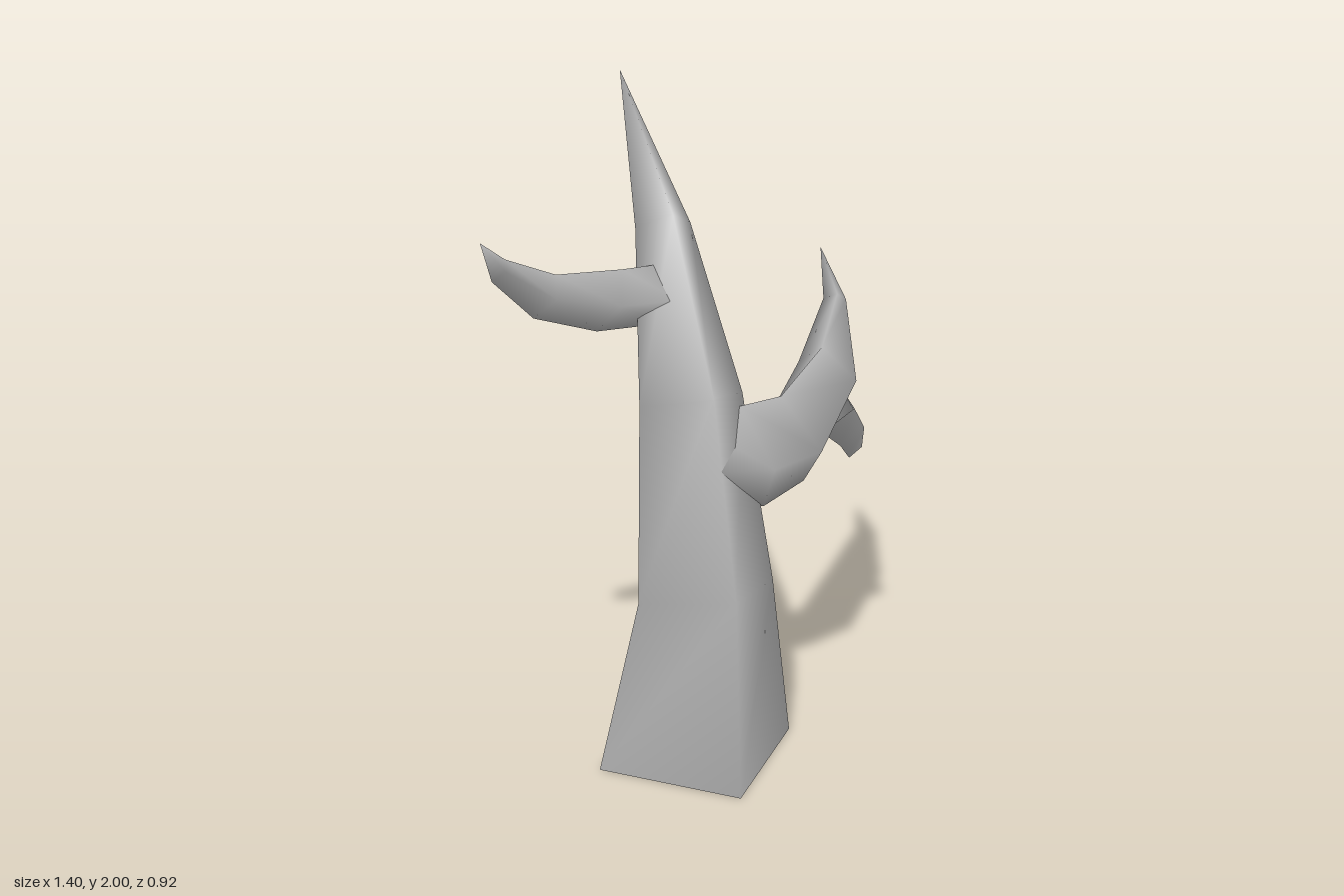
import * as THREE from 'three';

const bark = new THREE.MeshStandardMaterial({ color: 0xb0b0b0, side: THREE.DoubleSide });
bark.name = 'grey bark';

// Tapering four-sided limb. Each ring: centre, half-axis u, half-axis v (u x v points along the limb).
function limb(name, rings, tip) {
  const pos = [], index = [];
  rings.forEach(([c, u, v], k) => {
    for (const [a, b] of [[1, 0], [0, 1], [-1, 0], [0, -1]]) {
      for (let i = 0; i < 3; i++) pos.push(c[i] + a * u[i] + b * v[i]);
    }
    for (let i = 0; i < 4; i++) {
      const a = k * 4 + i, b = k * 4 + (i + 1) % 4;
      if (k < rings.length - 1) index.push(a, b, b + 4, a, b + 4, a + 4);
      else index.push(a, b, rings.length * 4);
    }
  });
  pos.push(...tip);
  const geo = new THREE.BufferGeometry();
  geo.setAttribute('position', new THREE.Float32BufferAttribute(pos, 3));
  geo.setIndex(index);
  geo.computeVertexNormals();
  const mesh = new THREE.Mesh(geo, bark);
  mesh.name = name;
  return mesh;
}

export function createModel() {
  const tree = new THREE.Group();
  tree.name = 'deadTree';

  // Trunk leaning back to a point, open underneath
  tree.add(limb('trunk', [
    [[-0.06, 0, 0.135], [0.318, 0, 0], [0, 0, -0.325]],
    [[-0.06, 0.565, 0.21], [0.217, 0, 0], [0, -0.045, -0.21]],
    [[-0.06, 1.13, 0.1], [0.163, 0, 0], [0, -0.05, -0.16]],
    [[-0.06, 1.6, -0.105], [0.087, 0, 0], [0, -0.05, -0.075]],
  ], [-0.06, 2, -0.43]));

  // Large left branch sweeping back and up
  tree.add(limb('leftBranch', [
    [[-0.03, 0.95, 0.16], [-0.03, 0.03, 0.16], [0.04, -0.12, 0]],
    [[0.115, 0.94, 0.145], [0.015, 0, 0.125], [0.035, -0.16, 0.01]],
    [[0.255, 0.97, 0.13], [0.055, -0.02, 0.085], [0.04, -0.14, 0]],
    [[0.5, 1.07, -0.125], [0.068, -0.02, 0.065], [0.03, -0.09, -0.02]],
    [[0.625, 1.235, -0.325], [0.03, 0, 0.02], [0.01, -0.027, -0.035]],
  ], [0.64, 1.37, -0.46]));

  // Twig forking downward from the left branch
  tree.add(limb('leftTwig', [
    [[0.45, 1.0, -0.02], [0.06, 0, 0.06], [-0.035, -0.075, 0.035]],
    [[0.55, 0.895, -0.095], [0.045, 0, 0.045], [-0.03, -0.055, 0.03]],
    [[0.635, 0.775, -0.205], [0.025, 0, 0.025], [-0.015, -0.035, 0.015]],
  ], [0.7, 0.7, -0.33]));

  // Slim right branch curving up and forward
  tree.add(limb('rightBranch', [
    [[-0.1, 1.42, -0.02], [0.02, 0, 0.08], [-0.01, 0.09, 0]],
    [[-0.26, 1.417, -0.03], [0.01, 0, 0.07], [0.04, 0.088, 0]],
    [[-0.465, 1.46, -0.005], [0.02, 0, 0.045], [0.035, 0.06, 0]],
    [[-0.62, 1.57, 0.06], [0.015, 0, 0.022], [0.02, 0.03, 0]],
  ], [-0.7, 1.68, 0.155]));

  return tree;
}
